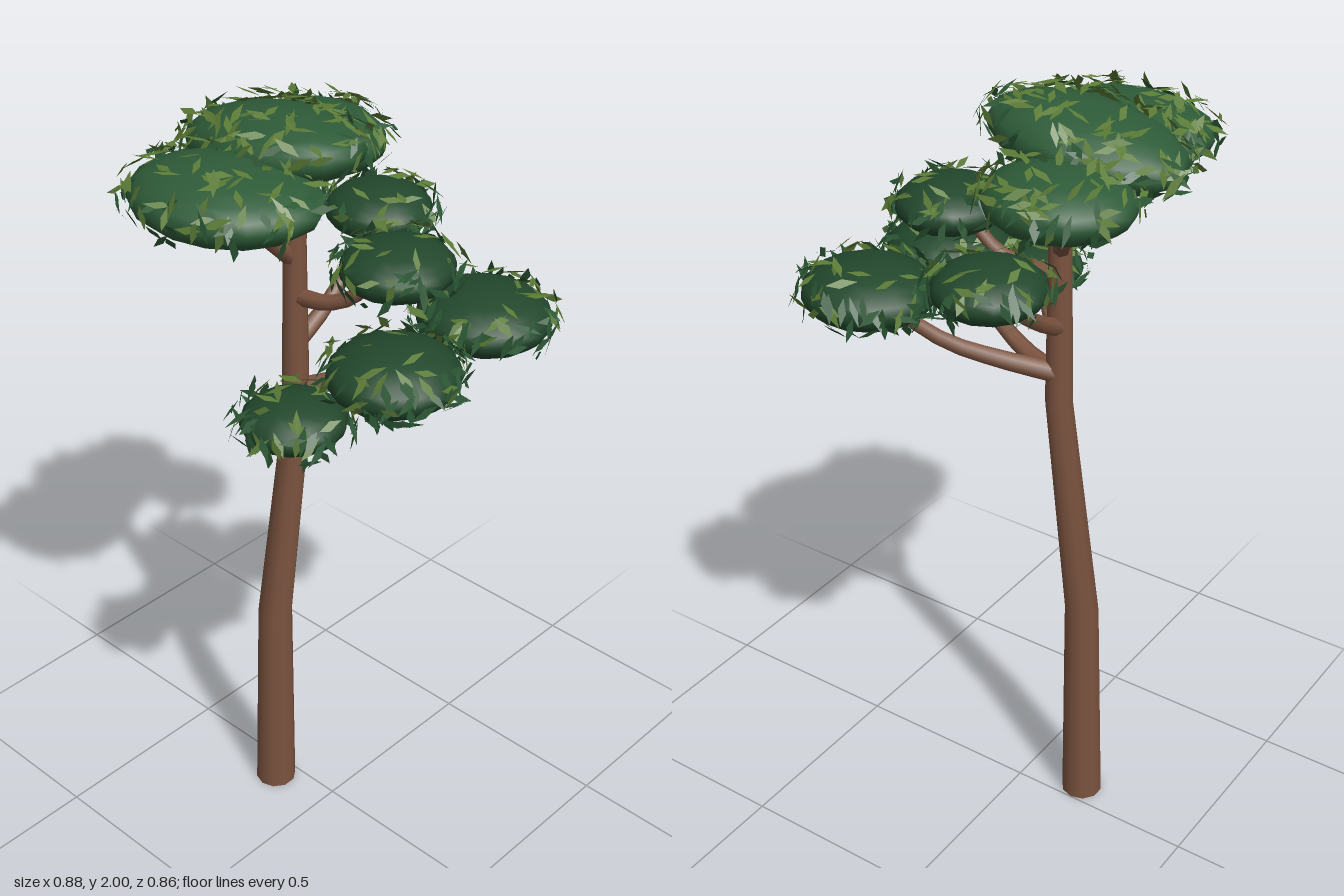
import * as THREE from 'three';

const V = (x, y, z) => new THREE.Vector3(x, y, z);

// small seeded random
let seed = 7;
const rnd = () => {
  seed = (seed * 16807) % 2147483647;
  return seed / 2147483647;
};
const spread = (s) => (rnd() * 2 - 1) * s;

const bark = new THREE.MeshStandardMaterial({ color: 0x7b533f });
const crownGreen = new THREE.MeshStandardMaterial({ color: 0x2e5b38 });
const lowGreen = new THREE.MeshStandardMaterial({ color: 0x22472c });
const oliveLeaf = new THREE.MeshStandardMaterial({ color: 0x5b7b36, side: THREE.DoubleSide });
const darkLeaf = new THREE.MeshStandardMaterial({ color: 0x2b5734, side: THREE.DoubleSide });

function addMesh(parent, name, geometry, material) {
  const mesh = new THREE.Mesh(geometry, material);
  mesh.name = name;
  parent.add(mesh);
}

// capped cylinder whose rings follow a bent line: straight pieces with distinct bends
function trunkGeometry() {
  const knots = [V(-0.165, 0, 0.055), V(-0.15, 0.6, 0.057), V(-0.086, 1.2, 0.035), V(-0.088, 1.8, 0.026)];
  const g = new THREE.CylinderGeometry(0.025, 0.054, 1, 10, 3);
  const p = g.attributes.position;
  for (let i = 0; i < p.count; i++) {
    const c = knots[Math.round((p.getY(i) + 0.5) * 3)];
    p.setXYZ(i, c.x + p.getX(i), c.y, c.z + p.getZ(i));
  }
  return g;
}

// tapered tube for a branch
function branchGeometry(points, r0, r1) {
  const curve = new THREE.CatmullRomCurve3(points);
  const rings = 8, sides = 7;
  const g = new THREE.TubeGeometry(curve, rings, 1, sides);
  const p = g.attributes.position, v = V(0, 0, 0);
  for (let i = 0; i < p.count; i++) {
    const t = Math.floor(i / (sides + 1)) / rings;
    const c = curve.getPointAt(t);
    v.fromBufferAttribute(p, i).sub(c).multiplyScalar(r0 + (r1 - r0) * t).add(c);
    p.setXYZ(i, v.x, v.y, v.z);
  }
  return g;
}

// pointed leaves scattered over an ellipsoid between two relative heights
function leavesGeometry([rx, ry, rz], count, low, high, hang) {
  const pos = [], index = [];
  for (let i = 0; i < count; i++) {
    const h = low + (high - low) * rnd(), a = rnd() * Math.PI * 2;
    const s = Math.sqrt(1 - h * h);
    const c = V(rx * s * Math.cos(a), ry * h, rz * s * Math.sin(a));
    const n = V(s * Math.cos(a) / rx, h / ry, s * Math.sin(a) / rz).normalize();
    c.addScaledVector(n, 0.006 + rnd() * 0.016);
    // direction lies near the surface, tilted outwards or hanging
    const d = V(spread(1), spread(1) - hang, spread(1));
    d.addScaledVector(n, -d.dot(n)).normalize().addScaledVector(n, spread(0.5)).normalize();
    const w = d.clone().cross(n).normalize().addScaledVector(n, spread(0.5));
    const len = 0.026 + rnd() * 0.012, wid = 0.008 + rnd() * 0.003;
    const b = pos.length / 3;
    const corners = [
      c.clone().addScaledVector(d, -len),
      c.clone().addScaledVector(w, wid).addScaledVector(d, -len * 0.2),
      c.clone().addScaledVector(d, len),
      c.clone().addScaledVector(w, -wid).addScaledVector(d, len * 0.1),
    ];
    corners.forEach((q) => pos.push(q.x, q.y, q.z));
    index.push(b, b + 1, b + 2, b, b + 2, b + 3);
  }
  const g = new THREE.BufferGeometry();
  g.setAttribute('position', new THREE.Float32BufferAttribute(pos, 3));
  g.setIndex(index);
  g.computeVertexNormals();
  return g;
}

export function createModel() {
  seed = 7;
  const tree = new THREE.Group();
  tree.name = 'tree';
  addMesh(tree, 'trunk', trunkGeometry(), bark);

  // branches: path, start radius, end radius
  const branches = [
    ['frontLowBranch', [V(-0.09, 1.28, 0.035), V(-0.03, 1.28, 0.12), V(0.05, 1.315, 0.2), V(0.13, 1.39, 0.27)], 0.024, 0.014],
    ['leftLowBranch', [V(-0.09, 1.27, 0.03), V(0.02, 1.29, 0.055), V(0.11, 1.34, 0.07), V(0.27, 1.48, 0.09)], 0.026, 0.014],
    ['backLowBranch', [V(-0.09, 1.28, 0.03), V(0.01, 1.32, -0.05), V(0.12, 1.38, -0.14), V(0.25, 1.5, -0.23)], 0.026, 0.014],
    ['leftMidBranch', [V(-0.09, 1.53, 0.03), V(0, 1.54, 0.02), V(0.06, 1.565, 0), V(0.15, 1.66, -0.02)], 0.022, 0.013],
    ['backMidBranch', [V(-0.09, 1.4, 0.03), V(-0.09, 1.45, -0.06), V(-0.1, 1.53, -0.17), V(-0.11, 1.63, -0.27)], 0.022, 0.013],
    ['frontTopBranch', [V(-0.09, 1.62, 0.028), V(-0.09, 1.67, 0.08), V(-0.1, 1.74, 0.15), V(-0.1, 1.82, 0.23)], 0.022, 0.013],
    ['backTopBranch', [V(-0.09, 1.6, 0.028), V(-0.13, 1.65, -0.03), V(-0.17, 1.72, -0.09), V(-0.2, 1.81, -0.16)], 0.022, 0.013],
    ['rightTopBranch', [V(-0.09, 1.61, 0.028), V(-0.14, 1.67, 0.04), V(-0.18, 1.75, 0.04), V(-0.2, 1.86, 0.03)], 0.02, 0.013],
  ];
  for (const [name, path, r0, r1] of branches) {
    addMesh(tree, name, branchGeometry(path, r0, r1), bark);
  }

  // foliage: centre, radii, yaw, roll, leaf count, belongs to the crown
  const clumps = [
    ['topClump', [-0.16, 1.88, 0.015], [0.245, 0.08, 0.155], 0, 0.12, 130, true],
    ['frontCrownClump', [-0.11, 1.83, 0.215], [0.23, 0.08, 0.185], 0.25, 0, 130, true],
    ['backCrownClump', [-0.21, 1.82, -0.17], [0.175, 0.075, 0.155], 0, 0, 100, true],
    ['backMidClump', [-0.11, 1.635, -0.28], [0.13, 0.062, 0.13], 0, 0, 70, false],
    ['leftMidClump', [0.17, 1.67, -0.03], [0.13, 0.062, 0.135], 0, 0, 75, false],
    ['backLowClump', [0.26, 1.505, -0.23], [0.16, 0.072, 0.155], 0, 0, 95, false],
    ['leftLowClump', [0.27, 1.49, 0.09], [0.15, 0.072, 0.155], 0, 0, 95, false],
    ['frontLowClump', [0.14, 1.40, 0.27], [0.12, 0.058, 0.12], 0, 0, 70, false],
  ];
  for (const [name, c, r, yaw, roll, count, crown] of clumps) {
    const group = new THREE.Group();
    group.name = name;
    group.position.set(...c);
    group.rotation.set(0, yaw, roll);
    addMesh(group, 'foliage', new THREE.SphereGeometry(1, 14, 10).scale(...r), crown ? crownGreen : lowGreen);
    addMesh(group, 'upperLeaves', leavesGeometry(r, count * (crown ? 0.75 : 0.4), 0, 0.97, 0), oliveLeaf);
    addMesh(group, 'skirtLeaves', leavesGeometry(r, count * (crown ? 0.35 : 0.7), -0.4, 0.5, 0.6), darkLeaf);
    tree.add(group);
  }
  return tree;
}
